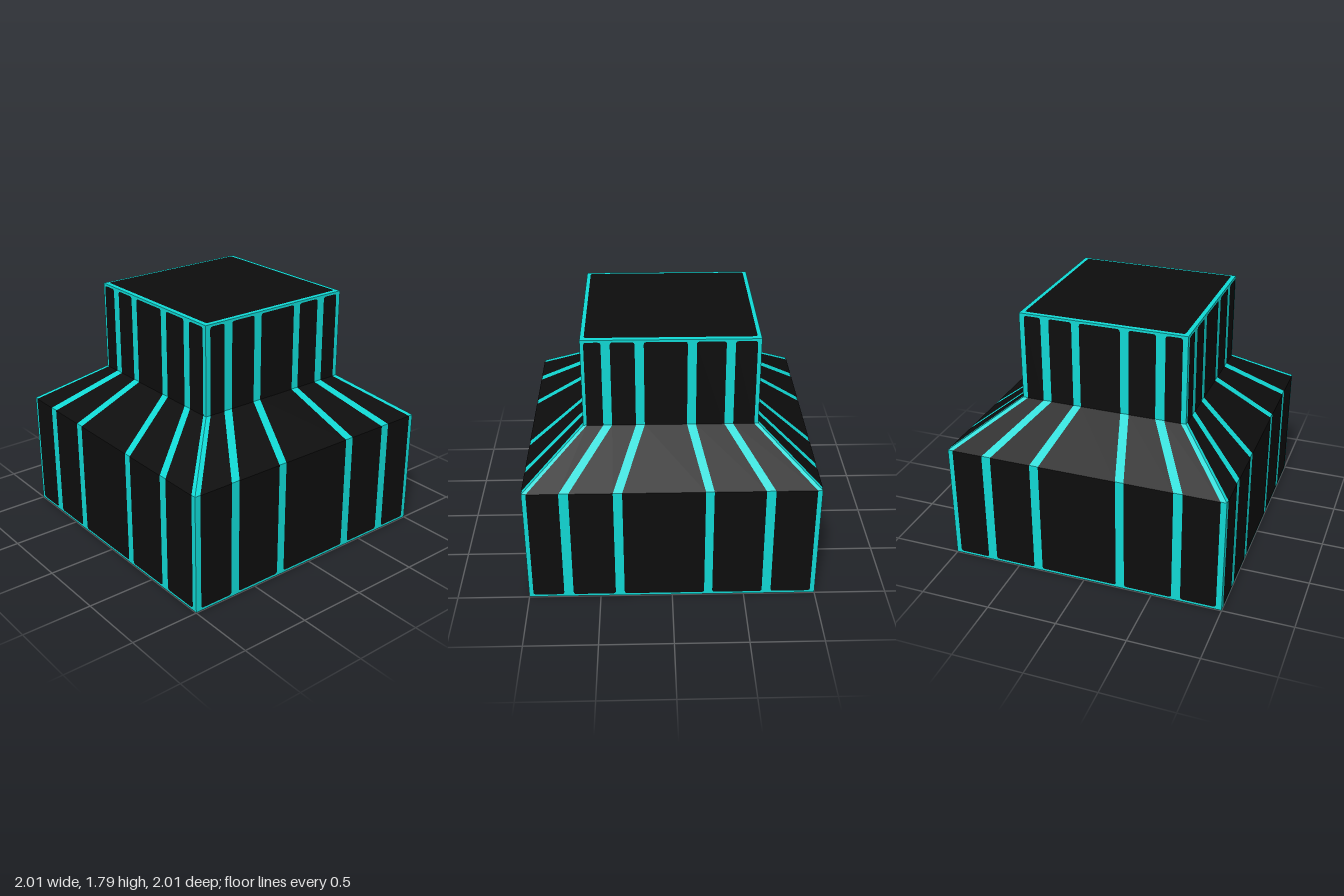
import * as THREE from 'three';

const KNEE = 0.86, NECK = 1.15, TOP = 1.785;   // heights of the profile
const WIDE = 1, SLIM = 0.597;                  // half widths below and above
const LIFT = 0.003;                            // panels sit just proud of the body

const trim = new THREE.MeshStandardMaterial({ color: 0x10d8d4 });
trim.name = 'cyan trim';
const panelBlack = new THREE.MeshStandardMaterial({ color: 0x0d0d0d });
panelBlack.name = 'black panel';

// Panel edges from left to right, in pairs, as seen facing each side
const faceEdges = {
  low: [-0.96, -0.707, -0.643, -0.3, -0.24, 0.316, 0.38, 0.675, 0.74, 0.963],
  high: [-0.562, -0.445, -0.38, -0.19, -0.13, 0.16, 0.215, 0.38, 0.44, 0.56],
};
const flankEdges = {
  low: [-0.97, -0.755, -0.69, -0.395, -0.333, 0.223, 0.28, 0.627, 0.69, 0.967],
  high: [-0.573, -0.46, -0.4, -0.238, -0.178, 0.11, 0.17, 0.365, 0.425, 0.57],
};
const mirrored = ({ low, high }) => ({
  low: low.map((v) => -v).reverse(),
  high: high.map((v) => -v).reverse(),
});

// Four-sided panel piece; r0 and r1 round its lower and upper corners
function piece(name, a0, b0, y0, a1, b1, y1, r0, r1, depthAt) {
  const s = new THREE.Shape();
  s.moveTo(a0 + r0, y0);
  s.lineTo(b0 - r0, y0);
  if (r0) s.quadraticCurveTo(b0, y0, b0, y0 + r0);
  s.lineTo(b1, y1 - r1);
  if (r1) s.quadraticCurveTo(b1, y1, b1 - r1, y1);
  s.lineTo(a1 + r1, y1);
  if (r1) s.quadraticCurveTo(a1, y1, a1, y1 - r1);
  s.lineTo(a0, y0 + r0);
  if (r0) s.quadraticCurveTo(a0, y0, a0 + r0, y0);
  const g = new THREE.ShapeGeometry(s, 4);
  const p = g.attributes.position;
  for (let i = 0; i < p.count; i++) p.setZ(i, depthAt(p.getY(i)) + LIFT);
  g.computeVertexNormals();
  const mesh = new THREE.Mesh(g, panelBlack);
  mesh.name = name;
  return mesh;
}

// Five panels that run up the wall, over the shoulder and up the neck
function side(name, { low, high }, angle) {
  const group = new THREE.Group();
  group.name = name;
  const slope = (y) => WIDE + (SLIM - WIDE) * (y - KNEE) / (NECK - KNEE);
  for (let i = 0; i < low.length; i += 2) {
    const [a, b, c, d] = [low[i], low[i + 1], high[i], high[i + 1]];
    group.add(
      piece('wallPanel', a, b, 0.022, a, b, KNEE, 0.02, 0, () => WIDE),
      piece('shoulderPanel', a, b, KNEE, c, d, NECK, 0, 0, slope),
      piece('neckPanel', c, d, NECK, c, d, TOP - 0.015, 0, 0.02, () => SLIM),
    );
  }
  group.rotation.y = angle;
  return group;
}

export function createModel() {
  const model = new THREE.Group();
  model.name = 'steppedBlock';

  // Square body: a four-sided lathe with flat faces
  const k = Math.SQRT2;
  const profile = [[0, LIFT], [WIDE * k, LIFT], [WIDE * k, KNEE], [SLIM * k, NECK], [SLIM * k, TOP], [0, TOP]]
    .map(([x, y]) => new THREE.Vector2(x, y));
  const bodyGeo = new THREE.LatheGeometry(profile, 4, Math.PI / 4).toNonIndexed();
  bodyGeo.computeVertexNormals();
  const body = new THREE.Mesh(bodyGeo, trim);
  body.name = 'body';
  model.add(body);

  // Panels on the four sides
  model.add(
    side('frontPanels', faceEdges, 0),
    side('rightPanels', flankEdges, Math.PI / 2),
    side('backPanels', mirrored(faceEdges), Math.PI),
    side('leftPanels', flankEdges, -Math.PI / 2),
  );

  // Square panels on the top and underneath
  const flat = () => 0;
  const lid = piece('topPanel', -0.568, 0.565, -0.57, -0.568, 0.565, 0.57, 0.02, 0.02, flat);
  lid.rotation.x = -Math.PI / 2;
  lid.position.y = TOP;
  const base = piece('basePanel', -0.96, 0.96, -0.96, -0.96, 0.96, 0.96, 0.02, 0.02, flat);
  base.rotation.x = Math.PI / 2;
  base.position.y = LIFT;
  model.add(lid, base);

  return model;
}
